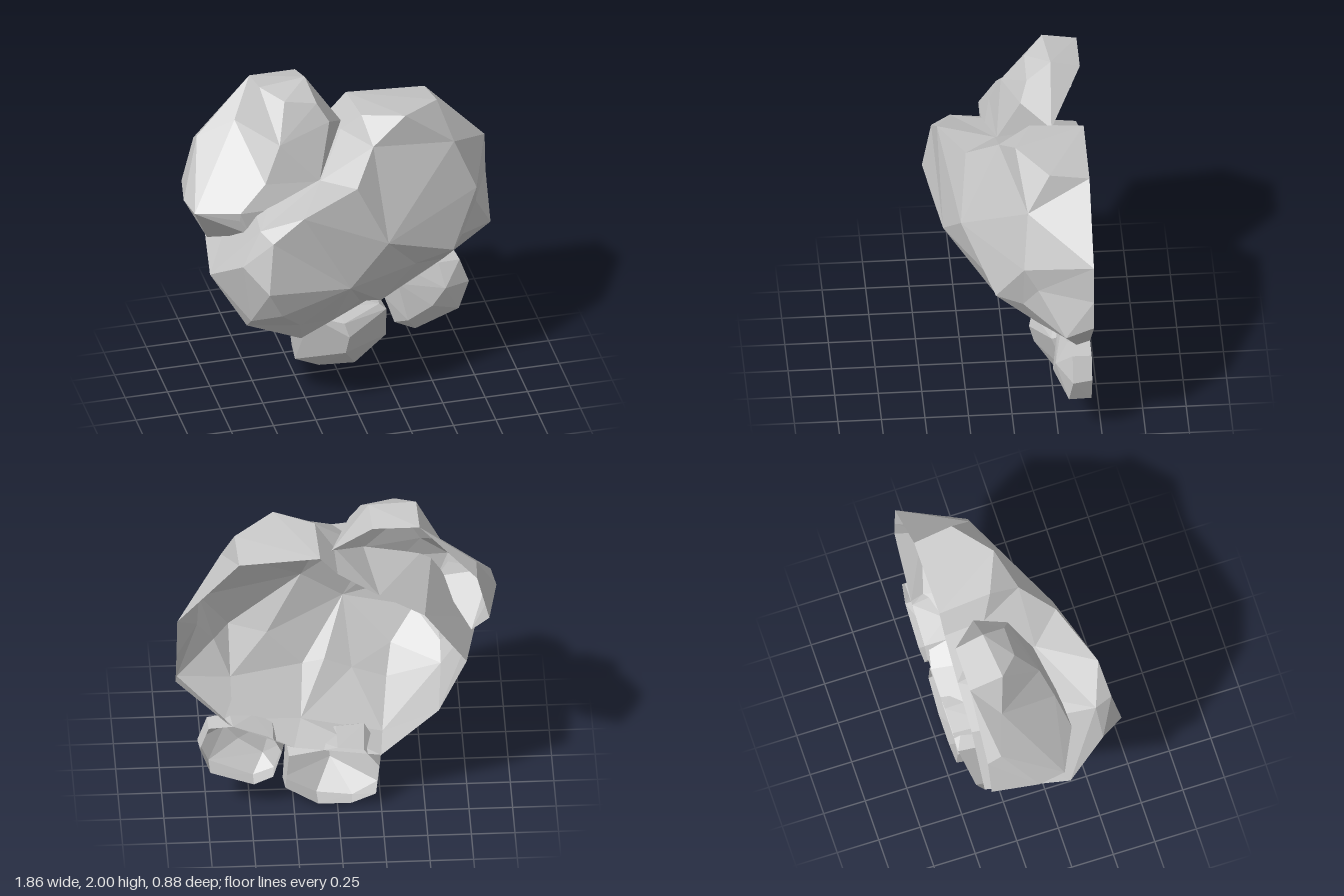
import * as THREE from 'three';
import { ConvexGeometry } from 'three/addons/geometries/ConvexGeometry.js';

const BACK = -0.44; // plane where every boulder is cut off and left open

const stone = new THREE.MeshStandardMaterial({ color: 0xc8c8c8, flatShading: true, side: THREE.DoubleSide });
stone.name = 'grey stone';

const backRim = (points) => points.map(([x, y]) => [x, y, BACK]);

// Faceted open boulder. Corners are joined by a hull around the centre; a dent below 1
// evens out their distances first, so that hollows stay. Faces spanning only the rim stay open.
function boulder(name, centre, dent, corners, rim) {
  const middle = new THREE.Vector3(...centre);
  const points = [...corners, ...rim].map((p) => new THREE.Vector3(...p));
  const evened = points.map((p) => {
    const ray = p.clone().sub(middle);
    return ray.setLength(ray.length() ** dent);
  });
  const hull = new ConvexGeometry(evened).getAttribute('position');
  const vertex = new THREE.Vector3();
  const indexOf = (k) => {
    vertex.fromBufferAttribute(hull, k);
    return evened.findIndex((e) => e.distanceTo(vertex) < 1e-4);
  };
  const kept = [];
  for (let i = 0; i < hull.count; i += 3) {
    const face = [i, i + 1, i + 2].map(indexOf);
    if (face.every((k) => k >= corners.length)) continue;
    for (const k of face) kept.push(...points[k].toArray());
  }
  const geometry = new THREE.BufferGeometry();
  geometry.setAttribute('position', new THREE.Float32BufferAttribute(kept, 3));
  geometry.computeVertexNormals();
  const mesh = new THREE.Mesh(geometry, stone);
  mesh.name = name;
  return mesh;
}

export function createModel() {
  const group = new THREE.Group();
  group.name = 'rockCluster';

  // Large boulder in the middle, with a ledge across its lower front
  group.add(boulder('mainBoulder', [0.02, 1.08, BACK], 0.05, [
    [0.35, 1.8, -0.03], [0.58, 1.765, -0.21], [0.115, 1.78, -0.13], [0.14, 1.67, 0.05],
    [0.65, 1.55, -0.08], [0.775, 1.24, -0.05], [0.79, 1.1, -0.13], [0, 1.515, 0.23],
    [0.01, 1.66, -0.2], [-0.17, 1.49, 0.05],
    [-0.35, 1.45, 0.37], [-0.535, 1.32, 0.39], [-0.585, 1.35, 0.28], [-0.57, 1.01, 0.44],
    [-0.69, 1.13, 0.29], [-0.825, 0.955, 0.05], [-0.48, 0.82, 0.38], [-0.62, 0.7, 0.2],
    [-0.62, 0.61, 0.1], [-0.34, 0.66, 0.25], [-0.31, 0.5, 0.14], [-0.27, 0.345, -0.18],
    [-0.07, 0.93, 0.355], [0.175, 1.145, 0.27], [0.6, 0.935, 0.1], [0.38, 0.87, 0.09],
    [0.05, 0.67, 0.09], [-0.11, 0.585, 0.12], [0.175, 0.65, 0.085], [0.69, 0.935, -0.05],
    [0.6, 0.73, -0.14], [0.6, 0.65, -0.26], [0.645, 0.59, -0.36], [0.2, 0.48, -0.22],
    [0.915, 0.845, -0.28],
  ], backRim([
    [0.1, 1.75], [0.565, 1.72], [0.92, 1.34], [0.925, 1.1], [0.93, 0.92], [0.62, 0.6],
    [0.25, 0.43], [-0.25, 0.36], [-0.58, 0.66], [-0.74, 1.0], [-0.5, 1.33], [-0.24, 1.48], [0, 1.64],
  ])));

  // Boulder leaning on the upper side, open where it meets the large one
  group.add(boulder('upperBoulder', [-0.45, 1.5, -0.3], 0.1, [
    [-0.925, 1.34, -0.17], [-0.9, 1.34, -0.01], [-0.8, 1.64, -0.36], [-0.595, 1.76, -0.29],
    [-0.46, 1.99, -0.24], [-0.185, 2, -0.27], [-0.15, 1.9, -0.13], [-0.34, 1.94, -0.13],
    [-0.365, 1.87, -0.18], [-0.4, 1.73, 0], [-0.085, 1.79, -0.09], [-0.5, 1.52, 0.06],
    [-0.66, 1.375, 0.11], [-0.66, 1.32, 0.1],
  ], [
    ...backRim([[-0.8, 1.06], [-0.87, 1.3], [-0.8, 1.58], [-0.47, 1.95], [-0.2, 1.95], [-0.02, 1.65]]),
    [0.025, 1.68, -0.26], [-0.175, 1.48, 0.04], [-0.4, 1.37, 0.1], [-0.6, 1.22, 0.1], [-0.78, 1.05, -0.2],
  ]));

  // Two small rocks at the foot
  group.add(boulder('lowerRock', [0.02, 0.22, BACK], 1, [
    [-0.26, 0.285, -0.28], [-0.235, 0.08, -0.3], [-0.09, 0.005, -0.32], [0.115, 0.01, -0.29],
    [0.31, 0.145, -0.33], [0.29, 0.375, -0.24], [0.25, 0.41, -0.25], [-0.165, 0.415, -0.2],
    [0.045, 0.285, -0.13], [0.03, 0.165, -0.16], [0.02, 0.37, -0.15], [0, 0.43, -0.24],
  ], backRim([
    [-0.24, 0.28], [-0.22, 0.09], [-0.08, 0.03], [0.11, 0.03],
    [0.3, 0.15], [0.28, 0.37], [0, 0.42], [-0.15, 0.4],
  ])));
  group.add(boulder('sideRock', [0.55, 0.38, BACK], 1, [
    [0.3, 0.4, -0.34], [0.365, 0.515, -0.27], [0.475, 0.56, -0.28], [0.615, 0.595, -0.31],
    [0.745, 0.585, -0.33], [0.8, 0.43, -0.33], [0.735, 0.27, -0.31], [0.48, 0.165, -0.32],
    [0.36, 0.22, -0.33], [0.42, 0.27, -0.25], [0.56, 0.36, -0.23], [0.64, 0.46, -0.24],
  ], backRim([
    [0.32, 0.4], [0.37, 0.5], [0.6, 0.59], [0.74, 0.58],
    [0.79, 0.44], [0.73, 0.27], [0.48, 0.18], [0.37, 0.23],
  ])));

  return group;
}
